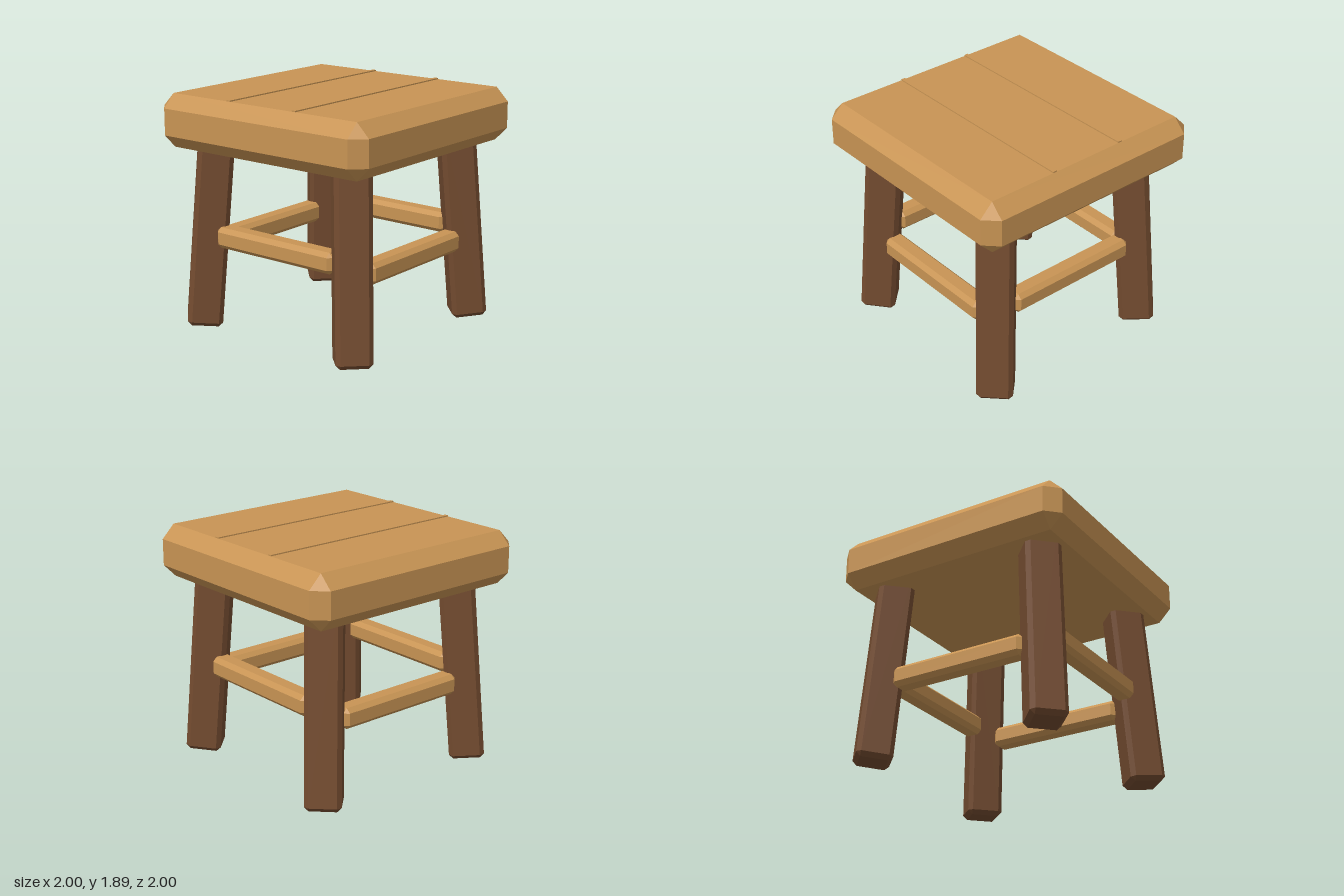
import * as THREE from 'three';
import { ConvexGeometry } from 'three/addons/geometries/ConvexGeometry.js';

// Box with every edge cut by a flat chamfer c (three points per corner)
function chamferBox(w, h, d, c) {
  const pts = [];
  const [x, y, z] = [w / 2, h / 2, d / 2];
  for (const sx of [-1, 1]) for (const sy of [-1, 1]) for (const sz of [-1, 1]) {
    pts.push(new THREE.Vector3(sx * x, sy * (y - c), sz * (z - c)));
    pts.push(new THREE.Vector3(sx * (x - c), sy * y, sz * (z - c)));
    pts.push(new THREE.Vector3(sx * (x - c), sy * (y - c), sz * z));
  }
  return new ConvexGeometry(pts);
}

export function createModel() {
  const model = new THREE.Group();
  model.name = 'stool';
  const lightWood = new THREE.MeshStandardMaterial({ color: 0xc89454 });
  lightWood.name = 'lightWood';
  const darkWood = new THREE.MeshStandardMaterial({ color: 0x744c30 });
  darkWood.name = 'darkWood';

  const add = (name, geometry, material, x, y, z) => {
    const mesh = new THREE.Mesh(geometry, material);
    mesh.name = name;
    mesh.position.set(x, y, z);
    model.add(mesh);
    return mesh;
  };

  // Thick seat slab
  add('seat', chamferBox(2, 0.423, 2, 0.106), lightWood, 0, 1.665, 0);

  // Two thin raised strips across the seat top
  const strip = new THREE.BoxGeometry(1.788, 0.016, 0.034);
  add('frontSeatStrip', strip, lightWood, 0, 1.878, 0.317);
  add('backSeatStrip', strip, lightWood, 0, 1.878, -0.32);

  // Legs turned to the diagonals and splayed outward at the foot
  const legLength = 1.6;
  const splay = 0.084;
  const legGeometry = chamferBox(0.281, legLength, 0.281, 0.034);
  const reach = 0.757 - (legLength / 2) * Math.sin(splay) / Math.SQRT2;
  const legY = 0.009 + (legLength / 2) * Math.cos(splay);
  for (const sx of [-1, 1]) for (const sz of [-1, 1]) {
    const name = (sz > 0 ? 'front' : 'back') + (sx > 0 ? 'Left' : 'Right') + 'Leg';
    const leg = add(name, legGeometry, darkWood, sx * reach, legY, sz * reach);
    leg.rotation.set(-splay, Math.atan2(sx, sz), 0, 'YXZ');
  }

  // Rails between the legs, the side pair set higher
  const railGeometry = chamferBox(1.156, 0.166, 0.166, 0.034);
  for (const s of [-1, 1]) {
    add(s > 0 ? 'frontRail' : 'backRail', railGeometry, lightWood, 0, 0.663, s * 0.72);
    const side = add(s > 0 ? 'leftRail' : 'rightRail', railGeometry, lightWood, s * 0.72, 0.755, 0);
    side.rotation.y = Math.PI / 2;
  }

  return model;
}
